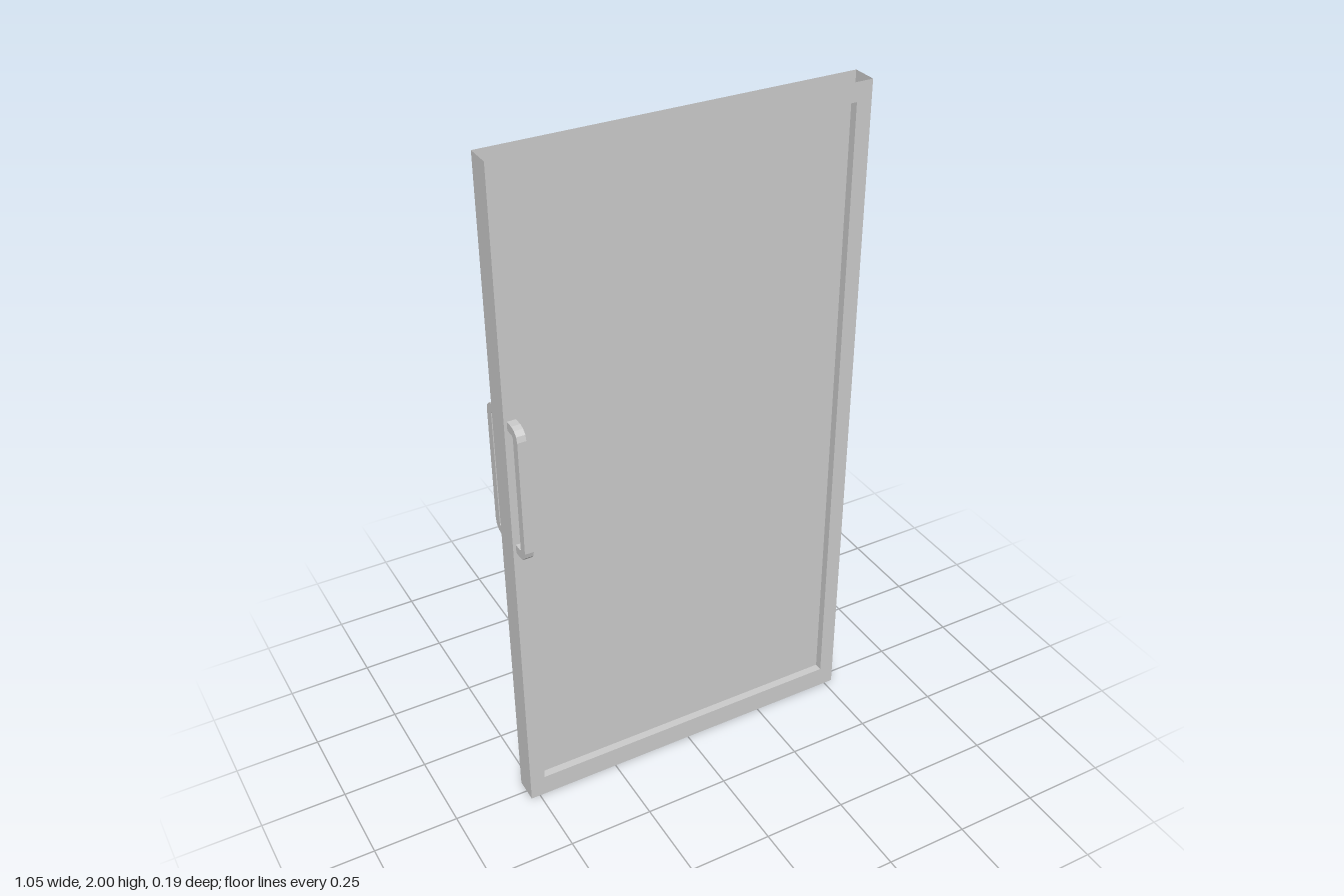
import * as THREE from 'three';

const W = 0.527, H = 2;                       // half width and height of the frame
const IN = 0.482, BOTTOM = 0.066, TOP = 1.947; // opening
const FRONT = 0.035, BACK = -0.039;
const MID = (FRONT + BACK) / 2, DEPTH = FRONT - BACK;

const solid = new THREE.MeshStandardMaterial({ color: 0xcccccc, flatShading: true });
const sheet = new THREE.MeshStandardMaterial({ color: 0xcccccc, flatShading: true, side: THREE.DoubleSide });

function add(parent, name, geometry, material, x = 0, y = 0, z = 0) {
  const mesh = new THREE.Mesh(geometry, material);
  mesh.name = name;
  mesh.position.set(x, y, z);
  parent.add(mesh);
  return mesh;
}

// Hollow frame, open at its top and bottom ends
function createFrame() {
  const frame = new THREE.Group();
  frame.name = 'frame';
  const ring = new THREE.Shape([[-W, 0], [W, 0], [W, H], [-W, H]].map(p => new THREE.Vector2(...p)));
  ring.holes.push(new THREE.Path(
    [[-IN, BOTTOM], [-IN, TOP], [IN, TOP], [IN, BOTTOM]].map(p => new THREE.Vector2(...p))));
  const face = new THREE.ShapeGeometry(ring);
  add(frame, 'frameFront', face, sheet, 0, 0, FRONT);
  add(frame, 'frameBack', face, sheet, -0, 0, BACK).rotation.y = Math.PI;

  for (const side of [-1, 1]) {
    const outer = new THREE.PlaneGeometry(DEPTH, H).rotateY(side * Math.PI / 2);
    add(frame, 'outerSide', outer, sheet, side * W, H / 2, MID);
    const inner = new THREE.PlaneGeometry(DEPTH, TOP - BOTTOM).rotateY(-side * Math.PI / 2);
    add(frame, 'innerSide', inner, sheet, side * IN, (TOP + BOTTOM) / 2, MID);
  }
  const rail = new THREE.PlaneGeometry(2 * IN, DEPTH);
  add(frame, 'sill', rail, sheet, 0, BOTTOM, MID).rotation.x = -Math.PI / 2;
  add(frame, 'lintel', rail, sheet, 0, TOP, MID).rotation.x = Math.PI / 2;
  return frame;
}

// Square-section pull handle: a U drawn in depth and height, extruded across
function createHandle(foot) {
  const out = 0.093, low = 0.903, high = 1.31, t = 0.026, r = 0.032, width = 0.025;
  const u = new THREE.Shape();
  u.moveTo(foot, low);
  u.lineTo(out - r, low);
  u.absarc(out - r, low + r, r, -Math.PI / 2, 0);
  u.lineTo(out, high - r);
  u.absarc(out - r, high - r, r, 0, Math.PI / 2);
  u.lineTo(foot, high);
  u.lineTo(foot, high - t);
  u.lineTo(out - t - 0.005, high - t);
  u.lineTo(out - t, high - t - 0.005);
  u.lineTo(out - t, low + t + 0.005);
  u.lineTo(out - t - 0.005, low + t);
  u.lineTo(foot, low + t);
  const geometry = new THREE.ExtrudeGeometry(u, { depth: width, bevelEnabled: false, curveSegments: 1.5 });
  geometry.translate(0, 0, -width / 2);
  return geometry.rotateY(-Math.PI / 2);
}

export function createModel() {
  const door = new THREE.Group();
  door.name = 'door';
  door.add(createFrame());

  // Panel recessed on both faces
  add(door, 'panel', new THREE.BoxGeometry(2 * IN, TOP - BOTTOM, 0.026), solid, 0, (TOP + BOTTOM) / 2, MID);

  // Handles on both faces of the same stile
  add(door, 'frontHandle', createHandle(FRONT), solid, -0.506);
  add(door, 'backHandle', createHandle(-BACK), solid, -0.506).rotation.y = Math.PI;
  return door;
}
